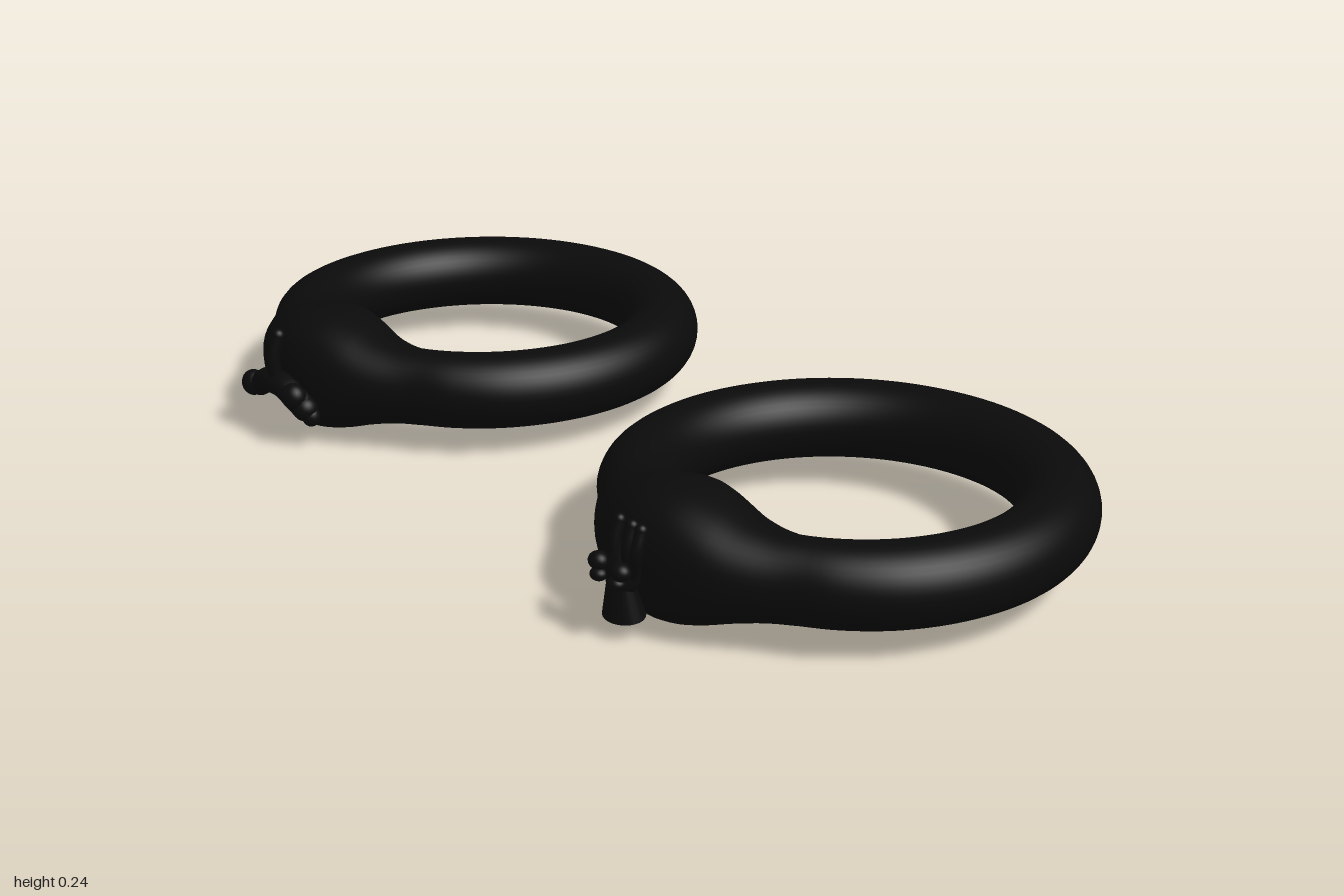
import * as THREE from 'three';

const material = new THREE.MeshStandardMaterial({ color: 0x0a0a0a });
const CENTRE_Y = 0.123;

// Smooth interpolation through [degrees, value] pairs, measured from the crest of the ring
function sample(table, deg) {
  for (let i = 0; i < table.length - 1; i++) {
    const [a, va] = table[i], [b, vb] = table[i + 1];
    if (deg <= b) {
      const before = table[Math.max(i - 1, 0)], after = table[Math.min(i + 2, table.length - 1)];
      const ma = i === 0 ? 0 : (vb - before[1]) / (b - before[0]);
      const mb = i + 2 >= table.length ? 0 : (after[1] - va) / (after[0] - a);
      const t = (deg - a) / (b - a), w = b - a, t2 = t * t, t3 = t2 * t;
      return (2 * t3 - 3 * t2 + 1) * va + (t3 - 2 * t2 + t) * w * ma
        + (3 * t2 - 2 * t3) * vb + (t3 - t2) * w * mb;
    }
  }
  return table[table.length - 1][1];
}

const OUTER = [[0, 0.478], [15, 0.466], [34, 0.433], [46, 0.438], [62, 0.443], [180, 0.443]];
const HALF_HEIGHT = [[0, 0.12], [7, 0.115], [14, 0.103], [22, 0.087], [31, 0.077], [42, 0.0745], [180, 0.0745]];

// Round band swelling into a crest, with a flat inner face behind the crest
function bandGeometry(around = 144, sides = 40) {
  const positions = [], index = [];
  for (let i = 0; i < around; i++) {
    const angle = (i / around) * Math.PI * 2;
    const deg = Math.min(angle, Math.PI * 2 - angle) * 180 / Math.PI;
    const outer = sample(OUTER, deg), half = sample(HALF_HEIGHT, deg);
    const c = Math.cos(angle);
    const inner = c > 0 ? Math.min(0.295, 0.243 / c) : 0.295;
    const swell = THREE.MathUtils.clamp((half - 0.0745) / 0.045, 0, 1);
    const power = 2 / (2 + 0.5 * swell);
    for (let j = 0; j < sides; j++) {
      const t = (j / sides) * Math.PI * 2;
      const u = Math.sign(Math.cos(t)) * Math.abs(Math.cos(t)) ** power;
      const v = Math.sign(Math.sin(t)) * Math.abs(Math.sin(t)) ** power;
      const r = (inner + outer) / 2 + u * (outer - inner) / 2;
      positions.push(-r * c, v * half, r * Math.sin(angle));
      const a = i * sides + j, b = i * sides + (j + 1) % sides;
      const d = ((i + 1) % around) * sides + j, e = ((i + 1) % around) * sides + (j + 1) % sides;
      index.push(a, d, b, b, d, e);
    }
  }
  const g = new THREE.BufferGeometry();
  g.setAttribute('position', new THREE.Float32BufferAttribute(positions, 3));
  // Wind faces so that they look away from the tube centre
  for (let k = 0; k < index.length; k += 3) {
    [index[k + 1], index[k + 2]] = [index[k + 2], index[k + 1]];
  }
  g.setIndex(index);
  g.computeVertexNormals();
  const p = g.attributes.position, n = g.attributes.normal;
  // Vertex 0 is the outermost crest point: its normal must point to -x
  if (n.getX(0) * p.getX(0) < 0) {
    for (let k = 0; k < index.length; k += 3) {
      [index[k + 1], index[k + 2]] = [index[k + 2], index[k + 1]];
    }
    g.setIndex(index);
    g.computeVertexNormals();
  }
  return g;
}

function blob(name, [x, y, z], [rx, ry, rz]) {
  const m = new THREE.Mesh(new THREE.SphereGeometry(1, 24, 16), material);
  m.name = name;
  m.position.set(x, y, z);
  m.scale.set(rx, ry, rz);
  return m;
}

// Rounded limb along a curve
function limb(name, points, radius) {
  const path = new THREE.CatmullRomCurve3(points.map(p => new THREE.Vector3(...p)));
  const group = new THREE.Group();
  group.name = name;
  group.add(new THREE.Mesh(new THREE.TubeGeometry(path, 16, radius, 12), material));
  for (const p of [points[0], points[points.length - 1]]) {
    group.add(blob(name + 'End', p, [radius, radius, radius]));
  }
  return group;
}

// Small upright ornament with a flared foot, a head and raised prongs
function frontOrnament() {
  const g = new THREE.Group();
  g.name = 'frontOrnament';
  const foot = new THREE.Mesh(new THREE.CylinderGeometry(0.026, 0.042, 0.065, 24), material);
  foot.name = 'foot';
  foot.position.set(-0.446, 0.07, 0);
  foot.rotation.z = 0.12;
  foot.scale.x = 0.8;
  g.add(foot, blob('body', [-0.445, 0.115, 0], [0.028, 0.045, 0.035]));
  for (const s of [-1, 1]) {
    g.add(blob('upperKnob', [-0.472, 0.133, s * 0.03], [0.017, 0.016, 0.019]));
    g.add(blob('lowerKnob', [-0.476, 0.112, s * 0.024], [0.015, 0.012, 0.016]));
  }
  for (const z of [-0.012, 0.022, 0.046]) {
    g.add(limb('prong', [[-0.445, 0.12, z * 0.6], [-0.452, 0.165, z], [-0.442, 0.205, z]], 0.011));
  }
  return g;
}

// Wider ornament lying across the crest with one raised prong
function backOrnament() {
  const g = new THREE.Group();
  g.name = 'backOrnament';
  g.add(limb('crossBody', [[-0.435, 0.085, -0.085], [-0.443, 0.11, -0.03], [-0.443, 0.11, 0.03], [-0.432, 0.08, 0.08]], 0.025));
  g.add(blob('knob', [-0.448, 0.088, -0.09], [0.023, 0.026, 0.025]));
  g.add(blob('knob', [-0.448, 0.105, 0.065], [0.024, 0.026, 0.027]));
  g.add(blob('knob', [-0.425, 0.065, 0.09], [0.018, 0.02, 0.018]));
  g.add(limb('prong', [[-0.445, 0.11, 0], [-0.452, 0.165, 0], [-0.44, 0.211, 0.003]], 0.014));
  return g;
}

export function createModel() {
  const model = new THREE.Group();
  model.name = 'ringPair';
  const geometry = bandGeometry();
  for (const [name, z, ornament] of [['frontRing', 0.555, frontOrnament()], ['backRing', -0.555, backOrnament()]]) {
    const ring = new THREE.Group();
    ring.name = name;
    ring.position.z = z;
    const band = new THREE.Mesh(geometry, material);
    band.name = 'band';
    band.position.set(0.045, CENTRE_Y, 0);
    ring.add(band, ornament);
    model.add(ring);
  }
  return model;
}
